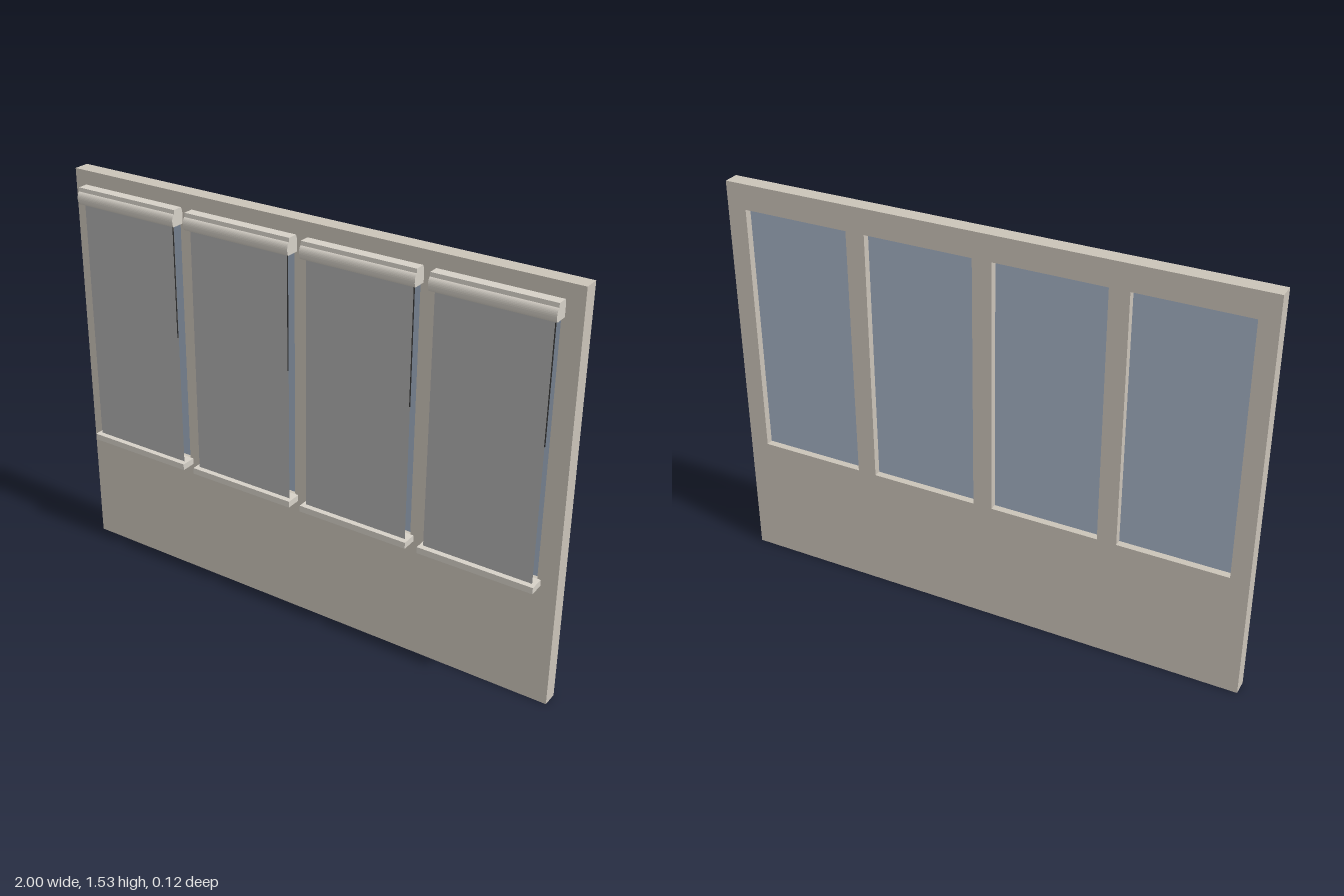
import * as THREE from 'three';

const CENTERS = [0, 1, 2, 3].map((i) => -0.726 + i * 0.4825);
const OPEN_W = 0.41, OPEN_BOTTOM = 0.475, OPEN_TOP = 1.435;

const paint = (color, extra = {}) => {
  const m = new THREE.MeshStandardMaterial({ color });
  return Object.assign(m, extra);
};
const wallMat = paint(0xcbc4b9);
const trimMat = paint(0xd6d1c8);
const glassMat = paint(0xa3b1c4, { side: THREE.DoubleSide });
const blindMat = paint(0xb0b0b0, { side: THREE.DoubleSide });
const cordMat = paint(0x333333);

function add(parent, name, geometry, material, x = 0, y = 0, z = 0) {
  const mesh = new THREE.Mesh(geometry, material);
  mesh.name = name;
  mesh.position.set(x, y, z);
  parent.add(mesh);
  return mesh;
}

// Wall slab with four window openings
function wallGeometry() {
  const s = new THREE.Shape();
  s.moveTo(-1, 0).lineTo(1, 0).lineTo(1, 1.53).lineTo(-1, 1.53).closePath();
  for (const c of CENTERS) {
    const l = c - OPEN_W / 2, r = c + OPEN_W / 2;
    const h = new THREE.Path();
    h.moveTo(l, OPEN_BOTTOM).lineTo(l, OPEN_TOP).lineTo(r, OPEN_TOP).lineTo(r, OPEN_BOTTOM).closePath();
    s.holes.push(h);
  }
  return new THREE.ExtrudeGeometry(s, { depth: 0.06, bevelEnabled: false });
}

// Blind casing: side profile (depth, height) with a bulging front, swept across the window
function casingGeometry(width) {
  const s = new THREE.Shape();
  s.moveTo(0.004, 1.42).lineTo(0.054, 1.42);
  s.quadraticCurveTo(0.061, 1.428, 0.06, 1.445);
  s.quadraticCurveTo(0.059, 1.46, 0.05, 1.466);
  s.lineTo(0.049, 1.481).lineTo(0.01, 1.481).lineTo(0.004, 1.466).closePath();
  const g = new THREE.ExtrudeGeometry(s, { depth: width, bevelEnabled: false, curveSegments: 6 });
  g.rotateY(-Math.PI / 2);      // profile x -> z, sweep z -> -x
  g.translate(width / 2, 0, 0);
  return g;
}

export function createModel() {
  const model = new THREE.Group();
  model.name = 'windowWall';
  add(model, 'wall', wallGeometry(), wallMat, 0, 0, -0.06);

  const casing = casingGeometry(0.436);
  const sill = new THREE.BoxGeometry(0.436, 0.024, 0.058);
  const openH = OPEN_TOP - OPEN_BOTTOM;
  const glass = new THREE.BoxGeometry(OPEN_W, openH, 0.006);
  const blind = new THREE.PlaneGeometry(0.41, 0.955);
  const cord = new THREE.CylinderGeometry(0.002, 0.002, 0.43, 6);

  for (const c of CENTERS) {
    const unit = new THREE.Group();
    unit.name = 'window';
    unit.position.x = c;
    model.add(unit);
    add(unit, 'glass', glass, glassMat, 0, OPEN_BOTTOM + openH / 2, -0.03);
    add(unit, 'sill', sill, trimMat, 0, 0.473, 0.029);
    add(unit, 'blindCasing', casing, trimMat);
    add(unit, 'blind', blind, blindMat, 0, 0.9625, 0.037);
    add(unit, 'pullCord', cord, cordMat, 0.211, 1.215, 0.049);
  }
  return model;
}
